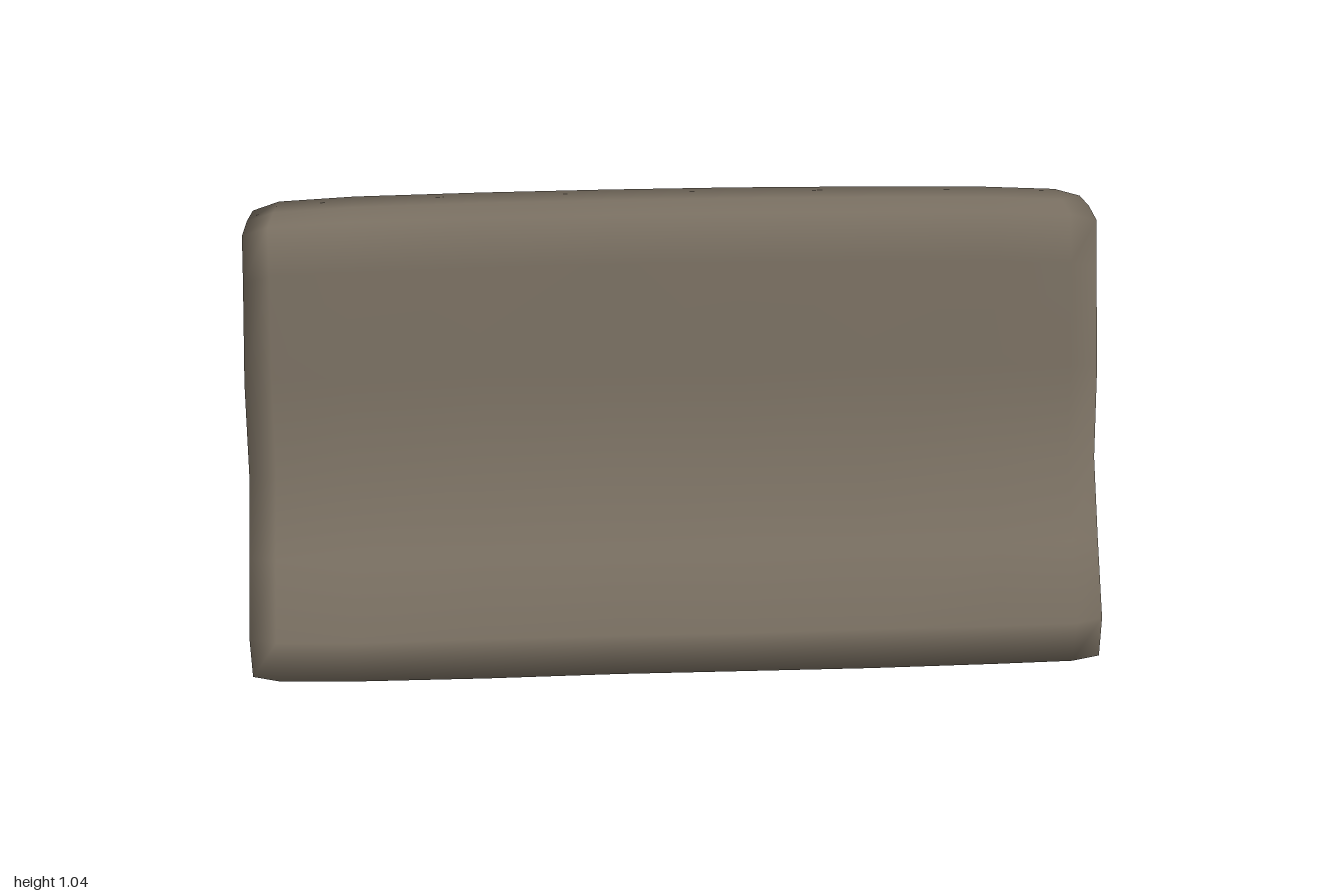
import * as THREE from 'three';

// Barrier cross-section as [z, y]: up the front, over the top, down the back, under the base
const PROFILE = [
  [0.40, 0.025], [0.397, 0.13], [0.29, 0.29], [0.178, 0.455], [0.133, 0.68], [0.085, 0.93],
  [0.058, 1.04], [-0.025, 1.045], [-0.11, 1.04], [-0.135, 0.955], [-0.16, 0.70], [-0.184, 0.44],
  [-0.27, 0.31], [-0.357, 0.16], [-0.40, 0.03], [-0.17, 0.007], [0.05, 0.014], [0.27, 0.011],
];
const CENTRE = [-0.01, 0.36];

// Rings along the length: [x, scale of the section]; the ends close with an inner ring
const RINGS = [
  [-0.992, 0.55], [-0.992, 0.965], [-0.93, 0.993], [-0.75, 1], [-0.45, 1], [-0.15, 1],
  [0.15, 1], [0.45, 1], [0.75, 1], [0.93, 0.993], [0.994, 0.97], [0.994, 0.55],
];

function barrierGeometry() {
  const n = PROFILE.length;
  const points = [];
  const faces = [];

  RINGS.forEach(([x, s], i) => {
    PROFILE.forEach(([z, y], j) => {
      // Worn, slightly uneven surface
      const wear = 0.005 * Math.sin(i * 2.1 + j * 1.7);
      // Crown sags towards the ends, and the end faces lean in near the top
      const sag = y > 0.9 ? 0.014 * x * x : 0;
      const lean = 1 - 0.02 * Math.max(0, (y - 0.6) / 0.44);
      const py = CENTRE[1] + (y - CENTRE[1]) * (y < 0.05 ? Math.max(s, 0.55) : s) - sag * s;
      points.push(x * lean, Math.max(0, py + wear * 0.4), CENTRE[0] + (z - CENTRE[0]) * s + wear);
    });
  });

  // Long sides
  for (let i = 0; i < RINGS.length - 1; i++) {
    for (let j = 0; j < n; j++) {
      const k = (j + 1) % n;
      const a = i * n + j, b = a + n, c = (i + 1) * n + k, d = i * n + k;
      faces.push(a, b, c, a, c, d);
    }
  }

  // End caps
  const last = (RINGS.length - 1) * n;
  const left = points.length / 3;
  points.push(-0.99, CENTRE[1], CENTRE[0], 0.992, CENTRE[1], CENTRE[0]);
  for (let j = 0; j < n; j++) {
    const k = (j + 1) % n;
    faces.push(left, j, k, left + 1, last + k, last + j);
  }

  const geometry = new THREE.BufferGeometry();
  geometry.setAttribute('position', new THREE.Float32BufferAttribute(points, 3));
  geometry.setIndex(faces);
  geometry.computeVertexNormals();
  return geometry;
}

export function createModel() {
  const concrete = new THREE.MeshStandardMaterial({ color: 0x7b7163 });
  concrete.name = 'weathered concrete';

  const barrier = new THREE.Mesh(barrierGeometry(), concrete);
  barrier.name = 'barrierBlock';

  const group = new THREE.Group();
  group.name = 'roadBarrier';
  group.add(barrier);
  return group;
}
